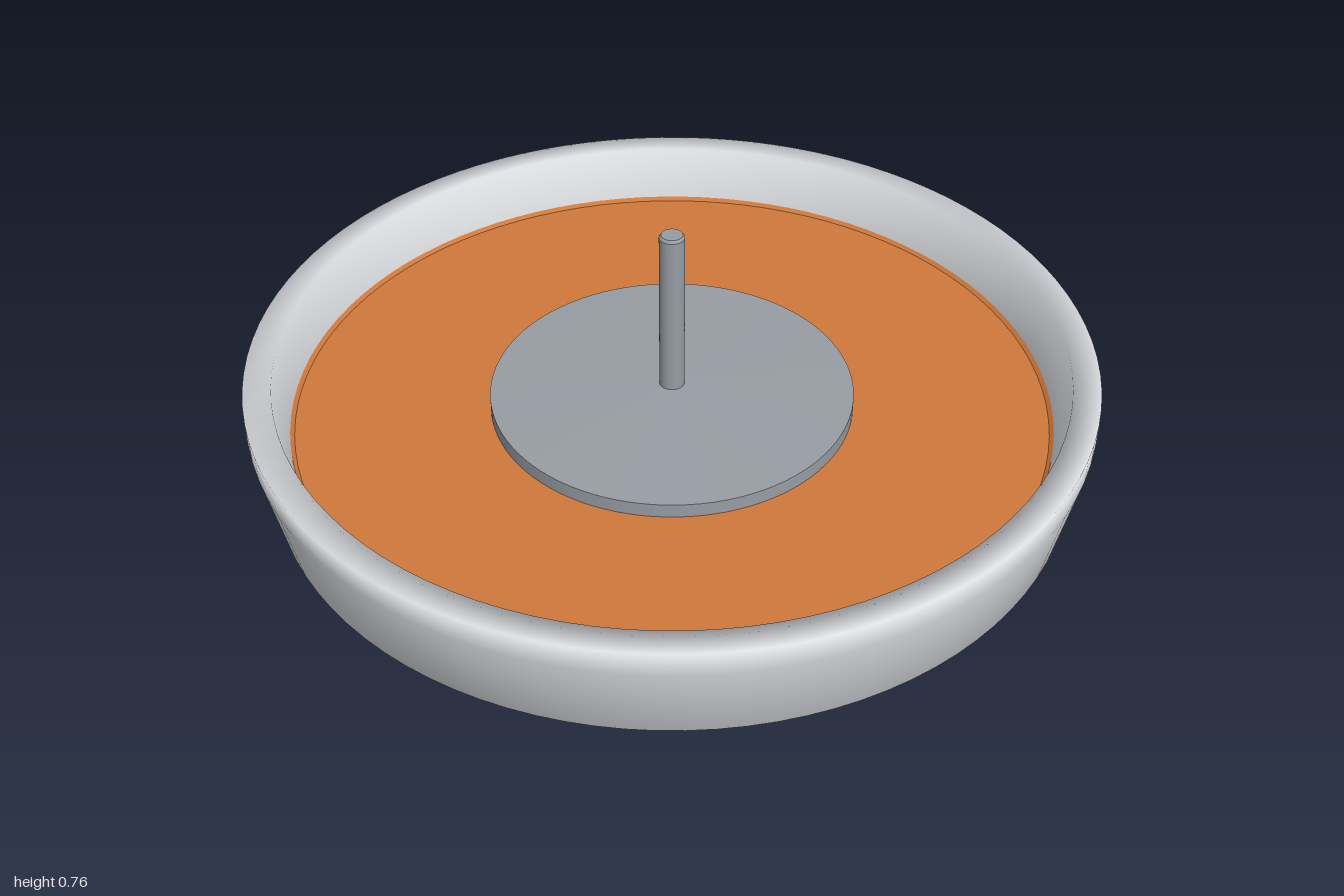
import * as THREE from 'three';

const shell = new THREE.MeshStandardMaterial({ color: 0xdcdee2 });
shell.name = 'pale grey shell';
const copper = new THREE.MeshStandardMaterial({ color: 0xcf783b });
copper.name = 'copper orange';
const metal = new THREE.MeshStandardMaterial({ color: 0x979da4 });
metal.name = 'grey metal';

// Revolved part; profile runs up the outside, then inwards
function lathe(name, material, points) {
  const profile = points.map(([r, y]) => new THREE.Vector2(r, y));
  const mesh = new THREE.Mesh(new THREE.LatheGeometry(profile, 96), material);
  mesh.name = name;
  return mesh;
}

export function createModel() {
  const model = new THREE.Group();
  model.name = 'roundDish';

  // Bowl wall with a soft rim and a tapering inner face
  model.add(lathe('bowl', shell, [
    [0.755, 0], [0.84, 0.05], [0.96, 0.18], [1, 0.38], [1, 0.44],
    [0.935, 0.44], [0.905, 0.29],
  ]));

  // Flat underside
  model.add(lathe('base', shell, [[0, 0], [0.755, 0]]));

  // Recessed floor and its narrow raised edge
  model.add(lathe('floor', copper, [[0.9, 0.295], [0, 0.295]]));
  model.add(lathe('floorEdge', copper, [[0.91, 0.305], [0.898, 0.295]]));

  // Centre plate: side and gently sloped top
  model.add(lathe('plateSide', metal, [[0.435, 0.295], [0.435, 0.33]]));
  model.add(lathe('plateTop', metal, [[0.435, 0.33], [0, 0.342]]));

  // Spindle with a small chamfer
  model.add(lathe('spindle', metal, [[0.03, 0.3], [0.03, 0.753]]));
  model.add(lathe('spindleChamfer', metal, [[0.03, 0.753], [0.025, 0.76]]));
  model.add(lathe('spindleCap', metal, [[0.025, 0.76], [0, 0.76]]));

  return model;
}
